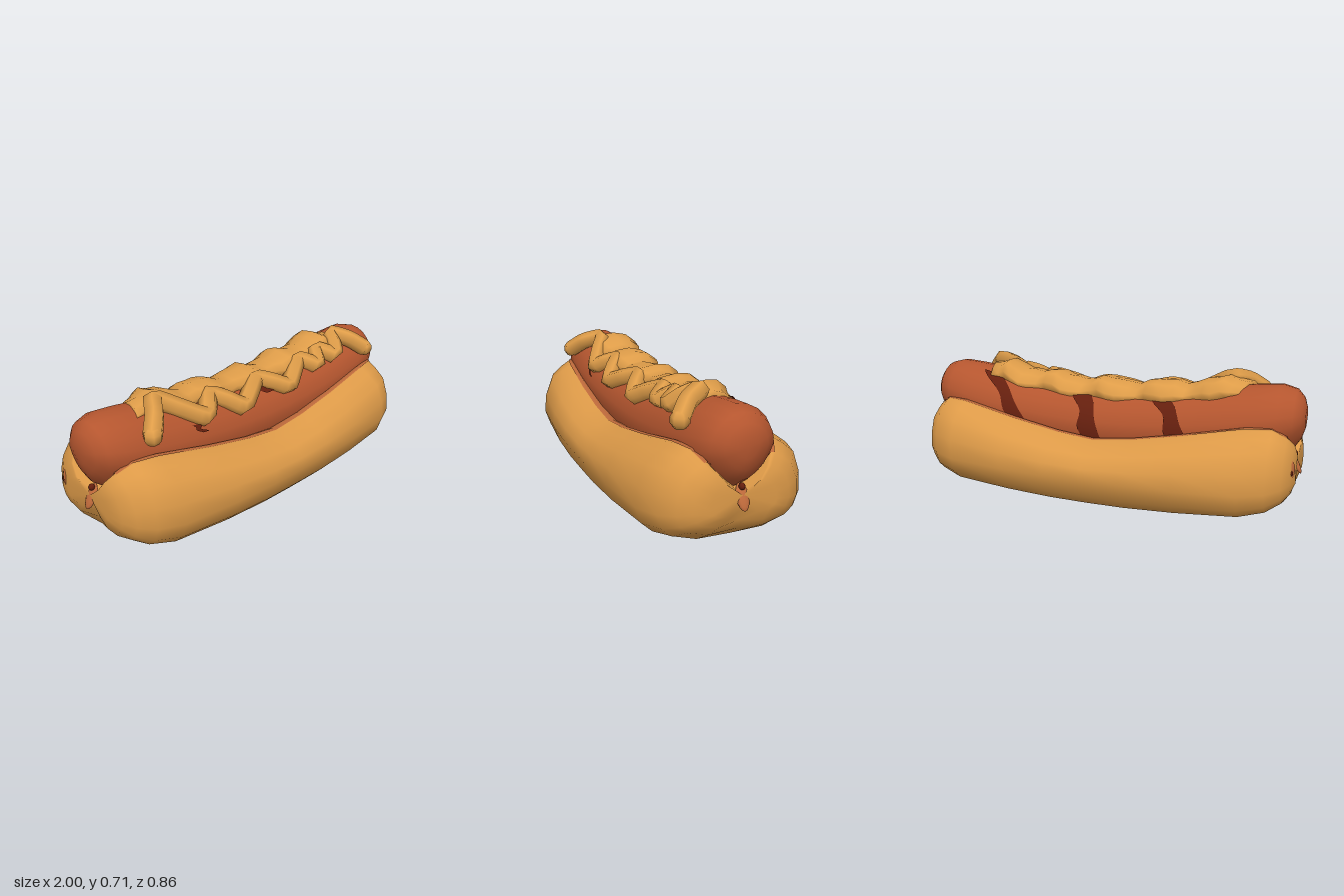
import * as THREE from 'three';

const mat = (name, color, side = THREE.FrontSide) => {
  const m = new THREE.MeshStandardMaterial({ color, side });
  m.name = name;
  return m;
};

// Height of the sausage centreline, sagging in the middle
const spineY = (x) => 0.368 + 0.14 * x * x;
// Point on the sausage at angle phi from the top (positive = front)
const onSausage = (x, phi, r) =>
  new THREE.Vector3(x, spineY(x) + r * Math.cos(phi), r * Math.sin(phi));

// Skin a list of rings running along +x; rings go top, front, bottom, back
function loft(rings, closed = true) {
  const n = rings[0].length;
  const pos = [], idx = [];
  rings.forEach((ring) => ring.forEach((p) => pos.push(p.x, p.y, p.z)));
  const spans = closed ? n : n - 1;
  for (let i = 0; i < rings.length - 1; i++) {
    for (let j = 0; j < spans; j++) {
      const a = i * n + j, b = i * n + (j + 1) % n;
      idx.push(a, b, b + n, a, b + n, a + n);
    }
  }
  if (closed) {
    [0, rings.length - 1].forEach((i) => {
      const c = new THREE.Vector3();
      rings[i].forEach((p) => c.addScaledVector(p, 1 / n));
      const k = pos.length / 3;
      pos.push(c.x, c.y, c.z);
      for (let j = 0; j < n; j++) {
        const a = i * n + j, b = i * n + (j + 1) % n;
        if (i === 0) idx.push(k, b, a);
        else idx.push(k, a, b);
      }
    });
  }
  const g = new THREE.BufferGeometry();
  g.setAttribute('position', new THREE.Float32BufferAttribute(pos, 3));
  g.setIndex(idx);
  g.computeVertexNormals();
  return g;
}

// Front half of the bun section as [z, y], from the cut over the lip to the underside
const BUN = [[0.05, 0.345], [0.12, 0.4], [0.2, 0.475], [0.225, 0.498], [0.25, 0.495], [0.305, 0.465],
  [0.378, 0.412], [0.42, 0.31], [0.43, 0.2], [0.4, 0.11], [0.345, 0.056], [0.2, 0.008]];
const BUN_RING = [[0, 0.3], ...BUN, [0, 0.004], ...BUN.slice().reverse().map(([z, y]) => [-z, y])];
const STAIN = [[0.12, 0.405], [0.194, 0.48], [0.222, 0.504], [0.246, 0.501]];
// Bun stations: |x|, depth scale, height scale above and below the core
const BUN_X = [[0.985, 0.36, 0.32, 0.25], [0.968, 0.53, 0.52, 0.42], [0.935, 0.67, 0.68, 0.58],
  [0.87, 0.8, 0.84, 0.75], [0.75, 0.91, 0.93, 0.87], [0.45, 0.975, 0.98, 0.95], [0.2, 1, 1, 0.99]];

function bunRings(section, skip = 0) {
  const half = BUN_X.slice(skip);
  const stations = [...half.map(([x, ...s]) => [-x, ...s]), [0, 1, 1, 1], ...half.slice().reverse()];
  return stations.map(([x, sz, up, down]) => {
    const lip = Math.min(0.525, 0.355 + 0.215 * Math.abs(x) ** 1.4);
    return section.map(([z, y]) => {
      const raised = y < 0.2 ? y : 0.2 + (y - 0.2) * (lip - 0.2) / 0.3;
      const py = 0.27 + (raised - 0.27) * (raised > 0.27 ? up : down), pz = z * sz;
      // Shallow crease between the two halves at each end
      const crease = 0.045 * Math.exp(-((pz / 0.06) ** 2))
        * THREE.MathUtils.smoothstep(Math.abs(x), 0.8, 0.97) * THREE.MathUtils.smoothstep(py, 0.06, 0.2);
      return new THREE.Vector3(x - Math.sign(x) * crease, py, pz);
    });
  });
}

export function createModel() {
  const bread = mat('bread', 0xdd9a48);
  const meat = mat('sausage meat', 0xb5562f);
  const char = mat('grill char', 0x651f0e, THREE.DoubleSide);
  const juice = mat('juice stain', 0xbf6a3b, THREE.DoubleSide);
  const mustard = mat('mustard', 0xdf9d49, THREE.DoubleSide);

  const model = new THREE.Group();
  model.name = 'hotDog';
  const add = (name, geo, material, parent = model) => {
    const m = new THREE.Mesh(geo, material);
    m.name = name;
    parent.add(m);
    return m;
  };

  // Split bun with a stained inner lip on both sides
  add('bun', loft(bunRings(BUN_RING)), bread);
  add('frontJuiceStain', loft(bunRings(STAIN, 2), false), juice);
  add('backJuiceStain', loft(bunRings(STAIN.map(([z, y]) => [-z, y]), 2), false), juice);

  // Small flattened drops: juice drips in the end creases and a spot on the back right
  const drop = (name, material, size, at, turn = [0, 0, 0]) => {
    const m = add(name, new THREE.SphereGeometry(1, 10, 8), material);
    m.scale.set(...size);
    m.position.set(...at);
    m.rotation.set(...turn);
  };
  [['left', 1], ['right', -1]].forEach(([name, side]) => {
    drop(name + 'JuiceDrip', juice, [0.014, 0.062, 0.03], [side * 0.964, 0.28, 0], [0, 0, side * 0.5]);
    drop(name + 'DripSpot', char, [0.016, 0.016, 0.014], [side * 0.958, 0.325, 0]);
  });
  drop('backJuiceSpot', juice, [0.012, 0.05, 0.03], [-0.962, 0.3, -0.2], [0, -0.7, 0]);
  drop('backSpotCentre', char, [0.012, 0.014, 0.012], [-0.967, 0.29, -0.206], [0, -0.7, 0]);

  // Sausage with rounded ends, narrowing underneath
  const ends = [[1, 0.05], [0.985, 0.1], [0.95, 0.148], [0.88, 0.184], [0.77, 0.2]];
  const inner = [-0.6, -0.45, -0.3, -0.15, 0, 0.15, 0.3, 0.45, 0.6].map((x) => [x, 0.21]);
  const stations = [...ends.map(([x, r]) => [-x, r]), ...inner, ...ends.slice().reverse()];
  add('sausage', loft(stations.map(([x, r]) => Array.from({ length: 20 }, (_, j) => {
    const p = onSausage(x, j * Math.PI / 10, r);
    if (j > 5 && j < 15) p.z *= 1 - 0.25 * Math.abs(Math.cos(j * Math.PI / 10));
    return p;
  }))), meat);

  // Slanted grill marks on the back and small ones on the front
  const grillMark = (name, x0, x1, phi0, phi1, width) => {
    const rows = [-1, 0, 1].map((s) => Array.from({ length: 13 }, (_, k) => {
      const t = k / 12;
      const w = width * (0.85 + 0.15 * Math.sin(t * 9));
      const x = x0 + (x1 - x0) * t + 0.01 * Math.sin(t * 8) + s * w / 2;
      return onSausage(x, phi0 + (phi1 - phi0) * t, 0.2145);
    }));
    add(name, loft(rows, false), char);
  };
  grillMark('backGrillMark1', -0.44, -0.31, -1.65, -0.5, 0.1);
  grillMark('backGrillMark2', 0.02, 0.11, -1.65, -0.5, 0.11);
  grillMark('backGrillMark3', 0.41, 0.64, -1.65, -0.42, 0.11);
  grillMark('frontGrillMark1', -0.49, -0.45, 0.95, 1.15, 0.04);
  grillMark('frontGrillMark2', 0.01, 0.05, 0.5, 0.78, 0.06);

  // Lumpy mustard band along the top
  const sauce = new THREE.Group();
  sauce.name = 'mustardTopping';
  model.add(sauce);
  const bandRings = [];
  for (let i = 0; i <= 28; i++) {
    const t = i / 28;
    const x = -0.72 + 1.4 * t;
    const endDrop = Math.min(1, 0.6 + 6 * Math.min(t, 1 - t));
    const lump = 0.012 * Math.cos(x * 21.7) + 0.006 * Math.sin(x * 47);
    const r = 0.195 + (0.058 + lump) * endDrop;
    const back = -0.58 + 0.05 * Math.sin(x * 24) + 0.3 * Math.max(0, Math.abs(x) - 0.5);
    const front = 0.46 + 0.08 * Math.cos(x * 24);
    const slant = Math.max(0, Math.abs(x) - 0.5) * 0.3 * Math.sign(x);
    bandRings.push([[back - 0.06, 0.19], [back, r - 0.012], [back * 0.55, r - 0.004 + lump * 0.5],
      [-0.05, r], [front * 0.6, r - 0.002], [front, r - 0.014], [front + 0.06, 0.19]]
      .map(([phi, rr]) => onSausage(x + slant * phi, phi, rr)));
  }
  add('mustardBand', loft(bandRings), mustard, sauce);

  // Zigzag squeeze of mustard down the front: [x, angle]
  const zigzag = [[-0.765, 1.02], [-0.63, 0.24], [-0.42, 0.84], [-0.31, 0.36], [-0.17, 0.87], [0.02, 0.36],
    [0.17, 0.84], [0.35, 0.36], [0.43, 0.74], [0.5, 0.34], [0.575, 0.76], [0.66, 0.22], [0.79, 1.0]];
  const lift = (x) => 0.228 + 0.018 * THREE.MathUtils.smoothstep(Math.abs(x), 0.5, 0.65);
  const path = [];
  zigzag.forEach(([x, phi], i) => {
    path.push(onSausage(x, phi, lift(x)));
    const next = zigzag[i + 1];
    if (next) {
      const mx = (x + next[0]) / 2;
      path.push(onSausage(mx, (phi + next[1]) / 2, lift(mx)));
    }
  });
  const curve = new THREE.CatmullRomCurve3(path, false, 'catmullrom', 0.3);
  add('mustardZigzag', new THREE.TubeGeometry(curve, 72, 0.047, 6), mustard, sauce);
  [path[0], path[path.length - 1]].forEach((p, i) => {
    const tip = add(i ? 'leftMustardTip' : 'rightMustardTip',
      new THREE.SphereGeometry(0.045, 6, 5), mustard, sauce);
    tip.position.copy(p);
  });

  return model;
}
